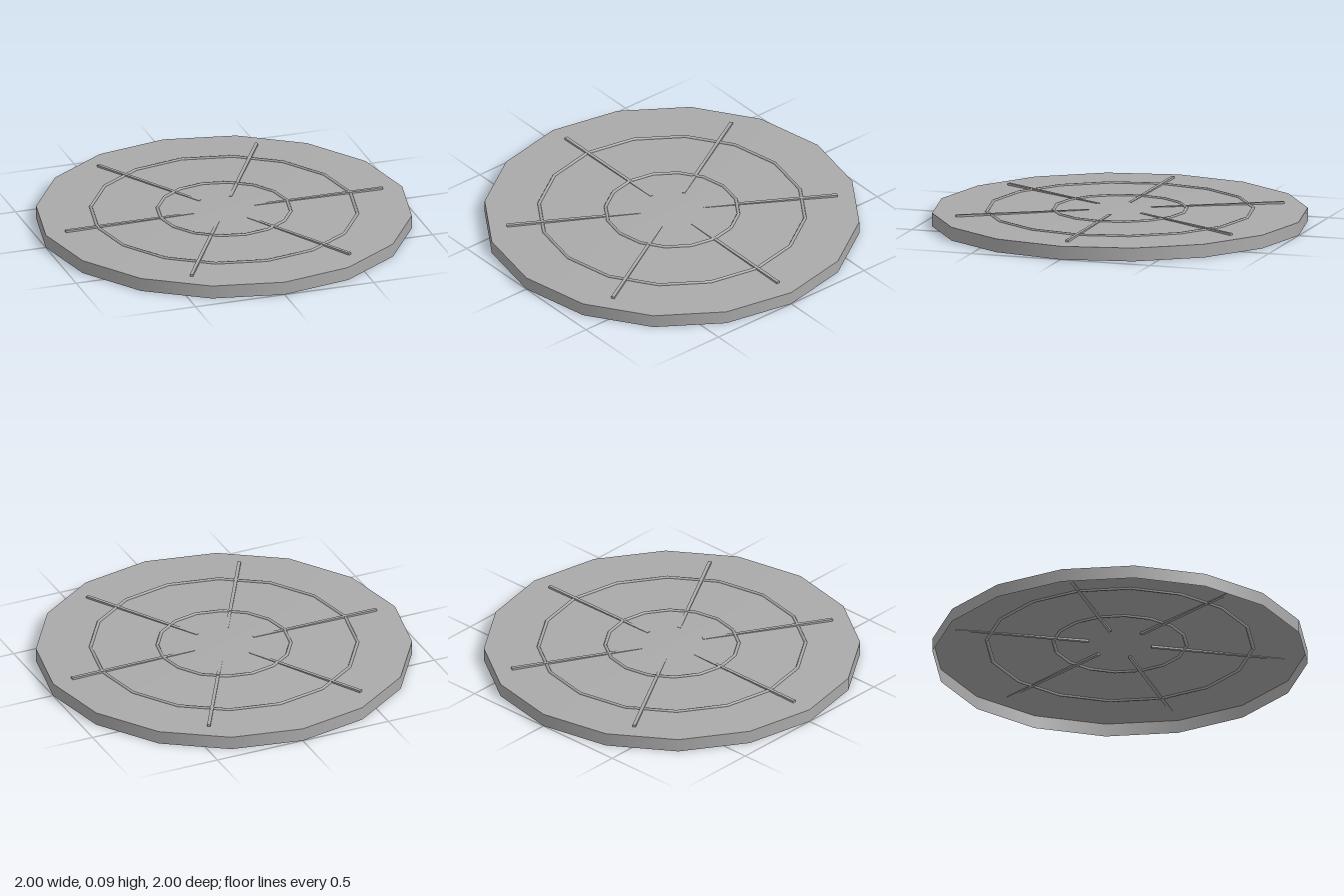
import * as THREE from 'three';

export function createModel() {
  const model = new THREE.Group();
  const grey = new THREE.MeshStandardMaterial({ color: 0xaaaaaa, side: THREE.DoubleSide });
  grey.name = 'plain grey';

  const SIDES = 16, RIM_Y = 0.072, PEAK_Y = 0.085;
  const surfaceY = (r) => PEAK_Y + (RIM_Y - PEAK_Y) * r;

  function add(geometry, name, parent = model) {
    const mesh = new THREE.Mesh(geometry, grey);
    mesh.name = name;
    parent.add(mesh);
    return mesh;
  }

  // Upright skirt, open underneath
  add(new THREE.CylinderGeometry(1, 1, RIM_Y, SIDES, 1, true), 'skirt').position.y = RIM_Y / 2;

  // Very shallow conical top
  const coverHeight = PEAK_Y - RIM_Y;
  add(new THREE.ConeGeometry(1, coverHeight, SIDES, 1, true), 'cover').position.y = RIM_Y + coverHeight / 2;

  // Two concentric rings half sunk into the cover
  for (const [radius, name] of [[0.355, 'innerRing'], [0.71, 'outerRing']]) {
    const ring = add(new THREE.TorusGeometry(radius, 0.009, 6, SIDES).rotateX(Math.PI / 2), name);
    ring.position.y = surfaceY(radius);
  }

  // Six level radial ribs
  const ribs = new THREE.Group();
  ribs.name = 'ribs';
  model.add(ribs);
  const inner = 0.17, outer = 0.89;
  for (let i = 0; i < 6; i++) {
    const rib = new THREE.BoxGeometry(outer - inner, 0.014, 0.018);
    rib.translate((inner + outer) / 2, 0.078, 0);
    add(rib, 'rib', ribs).rotation.y = (i * Math.PI) / 3;
  }
  return model;
}
